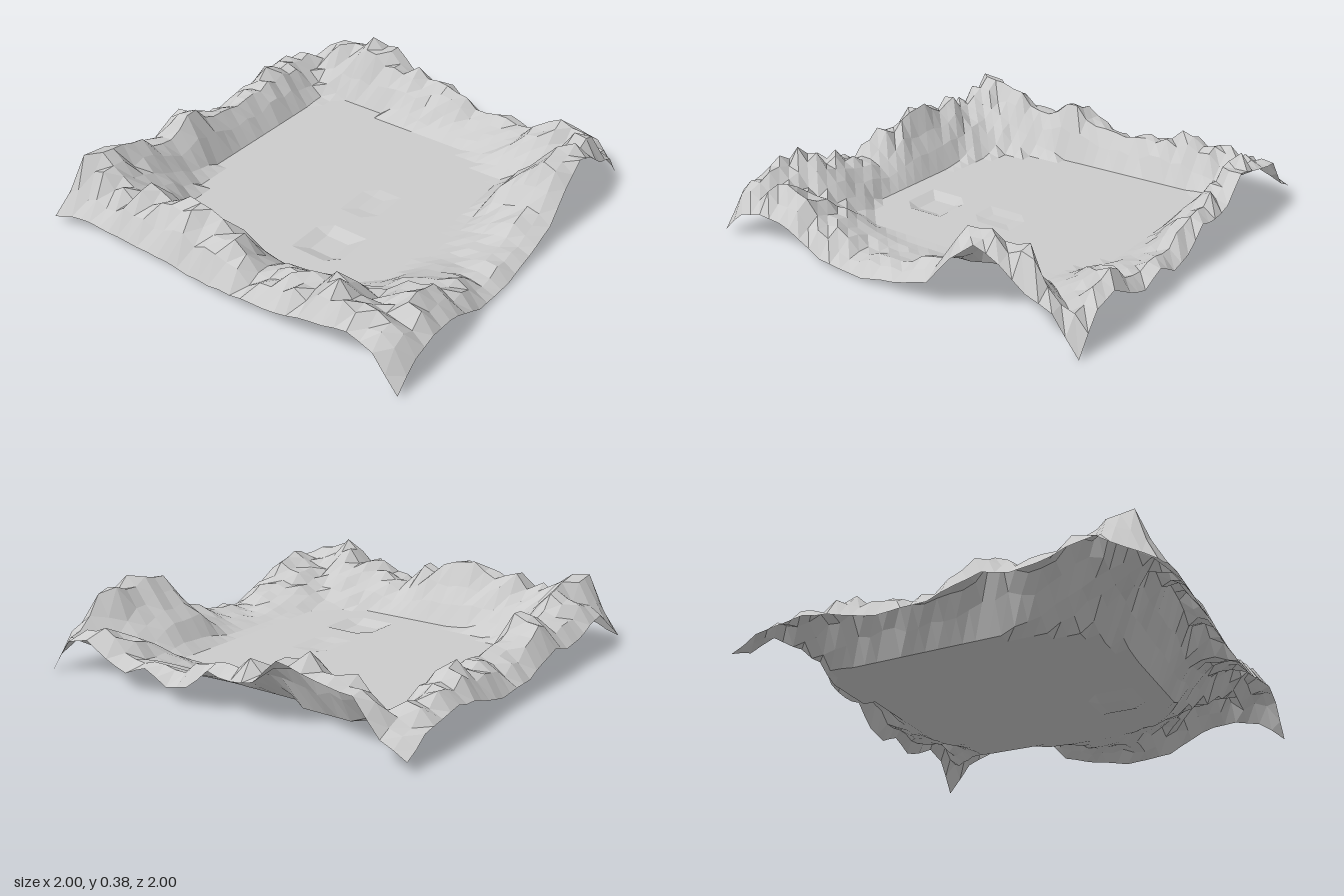
import * as THREE from 'three';

// Values round the square, eight per side (sixteen for the rim), from the
// front left corner (-x,+z) along the front, right, back and left sides.
const floorEdge = [
  .52, .57, .61, .62, .62, .62, .61, .60,
  .56, .60, .66, .72, .73, .70, .78, .76,
  .68, .69, .69, .69, .69, .69, .66, .60,
  .54, .58, .62, .63, .63, .63, .63, .58];
const crest = [
  .24, .25, .15, .07, .09, .16, .42, .36,
  .15, .23, .13, .15, .23, .26, .36, .30,
  .17, .24, .27, .20, .21, .33, .21, .31,
  .35, .28, .32, .32, .31, .19, .27, .32];
const rim = [
  .02, .13, .16, .15, .10, .04, .02, .02, .04, .07, .11, .25, .35, .30, .21, .16,
  .01, .17, .20, .13, .09, .14, .08, .10, .20, .18, .21, .32, .30, .27, .26, .11,
  .05, .12, .14, .16, .14, .10, .08, .08, .09, .13, .16, .13, .14, .18, .20, .12,
  .03, .08, .10, .10, .10, .10, .10, .09, .09, .10, .11, .13, .16, .19, .22, .18];
// How far out the crest lies on the front, right, back and left
const crestAt = [.89, .93, .82, .82];
const FLOOR = 0.03;

// Position round the square, 0 to 32
function around(x, z, r) {
  const u = x / r, v = z / r;
  if (v > 0.9999) return (u + 1) * 4;
  if (u > 0.9999) return 8 + (1 - v) * 4;
  if (v < -0.9999) return 16 + (1 - u) * 4;
  return 24 + (v + 1) * 4;
}

function sample(table, p) {
  const i = Math.floor(p), t = p - i, n = table.length;
  return THREE.MathUtils.lerp(table[i % n], table[(i + 1) % n], t * t * (3 - 2 * t));
}

// Repeatable rough noise, -1 to 1
function noise(x, z) {
  const s = Math.sin(Math.round(x * 16) * 12.9898 + Math.round(z * 16) * 78.233) * 43758.5453;
  return (s - Math.floor(s)) * 2 - 1;
}

// Shallow hollows in the floor: x, z, half width, half depth, drop
const hollows = [[-0.38, 0.19, 0.08, 0.08, 0.025], [0, 0.16, 0.08, 0.05, 0.008]];

function height(x, z) {
  const r = Math.max(Math.abs(x), Math.abs(z));
  if (r < 0.01) return FLOOR;
  const p = around(x, z, r), f = sample(floorEdge, p);
  if (r <= f) {
    const pit = hollows.find(([a, b, w, d]) => Math.abs(x - a) < w && Math.abs(z - b) < d);
    return FLOOR - (pit ? pit[4] : 0);
  }
  const top = sample(crest, p), edge = sample(rim, p * 2);
  const c = sample(crestAt, p / 8 + 3.5);
  const climb = Math.min(1, (r - f) / (c - f));
  let y = FLOOR + (top - FLOOR) * Math.pow(climb, 0.8);
  // Hold the crest height for a while, then fall to the rim
  if (r > c) y = THREE.MathUtils.lerp(top, edge, Math.pow((r - c) / (1 - c), 2));
  const rough = r > 0.99 ? 0.005 : 0.01 + 0.12 * Math.max(0, top - 0.02);
  return Math.max(0.005, y + noise(x, z) * rough * climb);
}

export function createModel() {
  const group = new THREE.Group();
  group.name = 'craterTerrain';

  // Square grid of 32 by 32 cells, lifted by the height rule
  const grid = new THREE.PlaneGeometry(2, 2, 32, 32);
  grid.rotateX(-Math.PI / 2).rotateY(Math.PI / 2);
  const pos = grid.attributes.position;
  for (let i = 0; i < pos.count; i++) pos.setY(i, height(pos.getX(i), pos.getZ(i)));
  const geometry = grid.toNonIndexed();
  geometry.computeVertexNormals();

  const ground = new THREE.Mesh(geometry, new THREE.MeshStandardMaterial({
    color: 0xcccccc, flatShading: true, side: THREE.DoubleSide }));
  ground.name = 'basinAndRidges';
  group.add(ground);
  return group;
}
